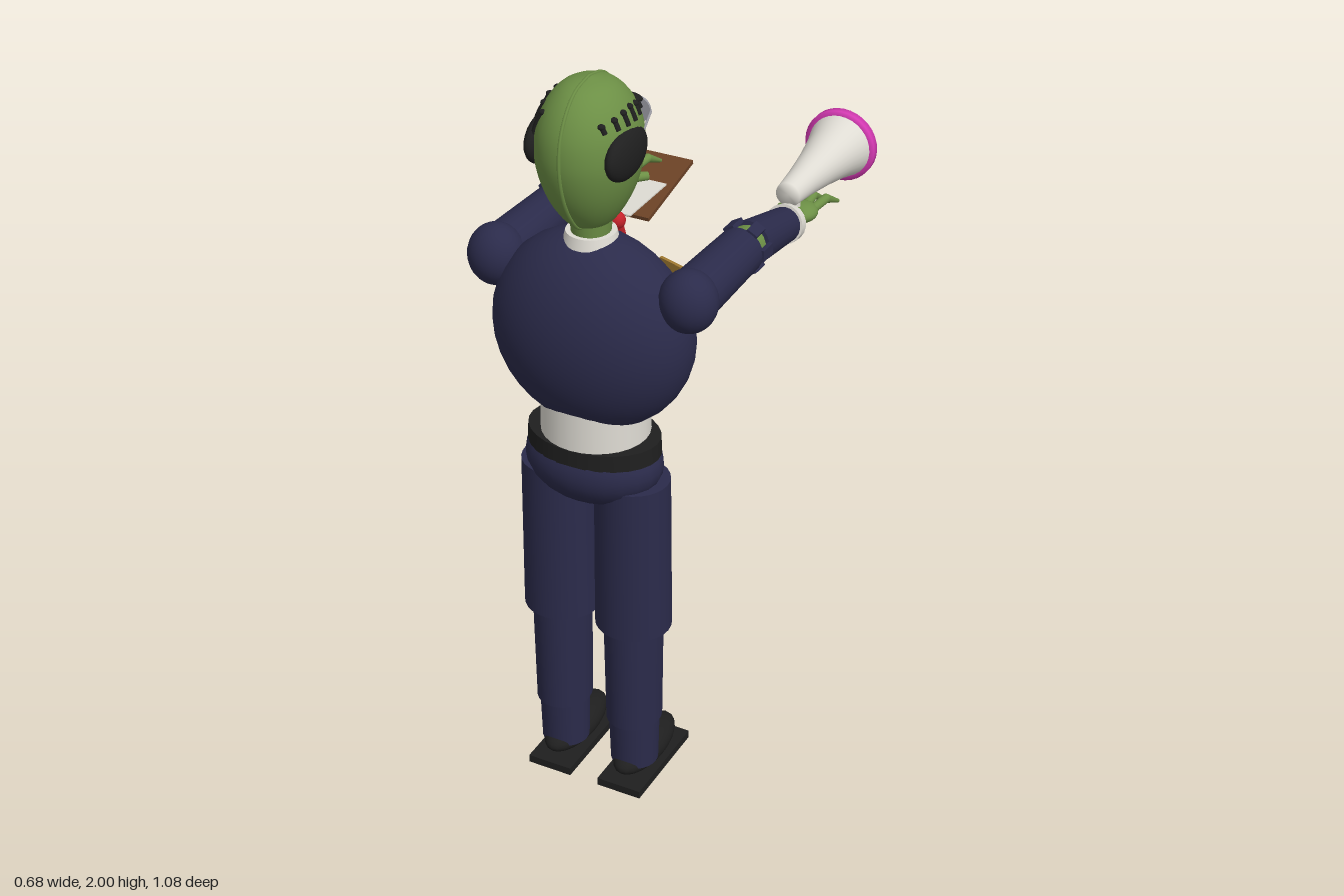
import * as THREE from 'three';

const mat = (name, color, double) => {
  const m = new THREE.MeshStandardMaterial({ color });
  m.name = name;
  if (double) m.side = THREE.DoubleSide;
  return m;
};

export function createModel() {
  const navy = mat('navy cloth', 0x2b2b4b, true);
  const green = mat('green skin', 0x6c8f45);
  const black = mat('black', 0x1f1f1f);
  const white = mat('off white', 0xdedbd3, true);
  const red = mat('red', 0xc4222a);
  const pink = mat('pink', 0xd63ab4, true);
  const brown = mat('brown', 0x6b4226);
  const gold = mat('gold', 0xa07a32);
  const grey = mat('grey', 0x9a9aa2, true);

  const root = new THREE.Group();
  const body = new THREE.Group();
  body.name = 'figure';
  body.position.x = -0.01;
  root.add(body);

  const add = (name, geo, m, p = [0, 0, 0], parent = body) => {
    const mesh = new THREE.Mesh(geo, m);
    mesh.name = name;
    mesh.position.set(...p);
    parent.add(mesh);
    return mesh;
  };
  const ball = (name, m, p, r, parent) => {
    const mesh = add(name, new THREE.SphereGeometry(1, 24, 16), m, p, parent);
    mesh.scale.set(...r);
    return mesh;
  };
  const box = (name, m, p, s, parent) => add(name, new THREE.BoxGeometry(...s), m, p, parent);
  // Tapered round bar from a to b
  const bar = (name, m, a, b, r1, r2, parent, open = false) => {
    const va = new THREE.Vector3(...a), d = new THREE.Vector3(...b).sub(va);
    const geo = new THREE.CylinderGeometry(r2, r1, d.length(), 20, 1, open);
    const mesh = add(name, geo, m, va.clone().addScaledVector(d, 0.5).toArray(), parent);
    mesh.quaternion.setFromUnitVectors(new THREE.Vector3(0, 1, 0), d.normalize());
    return mesh;
  };
  // Upright elliptical tube
  const drum = (name, m, x, z, y0, y1, r0, r1, sz) => {
    const mesh = add(name, new THREE.CylinderGeometry(r1, r0, y1 - y0, 28), m, [x, (y0 + y1) / 2, z]);
    mesh.scale.z = sz;
    return mesh;
  };

  // Torso: shirt with a jacket shell around the back
  ball('shirt', white, [0, 1.34, 0.36], [0.26, 0.255, 0.173]);
  const shell = new THREE.SphereGeometry(1, 32, 24, 0, Math.PI * 2, 0, 1.85);
  shell.rotateX(Math.PI / 2);
  add('jacket', shell, navy, [0, 1.34, 0.36]).scale.set(0.265, 0.262, 0.178);
  drum('shirtWaist', white, 0, 0.357, 1.02, 1.24, 0.14, 0.135, 0.95);
  drum('belt', black, 0, 0.365, 1.01, 1.055, 0.177, 0.175, 0.72);
  box('buckle', gold, [0, 1.034, 0.236], [0.06, 0.042, 0.012]);
  ball('pelvis', navy, [0, 0.975, 0.367], [0.183, 0.115, 0.133]);
  ball('collarBase', navy, [0, 1.53, 0.365], [0.12, 0.06, 0.09]);

  // Lower jacket point behind the tie
  const tri = new THREE.Shape([[0, 0.1], [0.075, -0.1], [0, -0.13], [-0.075, -0.1]].map(p => new THREE.Vector2(...p)));
  add('jacketPoint', new THREE.ExtrudeGeometry(tri, { depth: 0.02, bevelEnabled: false }), navy, [0, 1.27, 0.183]).rotation.x = -0.2;

  // Tie and badge
  bar('tieUpper', red, [0, 1.565, 0.235], [0, 1.45, 0.193], 0.013, 0.015);
  bar('tieMiddle', red, [0, 1.45, 0.193], [0, 1.27, 0.183], 0.015, 0.022);
  bar('tieTip', red, [0, 1.27, 0.183], [0, 1.17, 0.208], 0.022, 0.004);
  ball('tieKnot', red, [0, 1.57, 0.234], [0.02, 0.022, 0.02]);
  box('badge', gold, [0.135, 1.46, 0.213], [0.075, 0.038, 0.009]).rotation.y = -0.35;

  // Legs and shoes
  for (const s of [-1, 1]) {
    const x = s * 0.104;
    drum('thigh', navy, x, 0.363, 0.5, 0.94, 0.1, 0.097, 0.95);
    drum('calf', navy, x, 0.363, 0.2, 0.51, 0.072, 0.076, 1.1);
    drum('ankle', navy, x, 0.363, 0.06, 0.21, 0.063, 0.067, 1);
    ball('shoe', black, [x, 0.06, 0.308], [0.06, 0.044, 0.137]);
    box('sole', black, [x, 0.011, 0.312], [0.125, 0.022, 0.288]);
  }

  // Neck and egg-shaped head
  drum('neck', green, 0, 0.365, 1.58, 1.7, 0.046, 0.056, 1.05);
  drum('collar', white, 0, 0.365, 1.565, 1.607, 0.072, 0.062, 1);
  const profile = [[0, 1.625], [0.048, 1.635], [0.078, 1.67], [0.103, 1.72], [0.119, 1.775], [0.125, 1.83],
    [0.118, 1.89], [0.094, 1.945], [0.055, 1.985], [0, 2]].map(p => new THREE.Vector2(...p));
  const curve = new THREE.SplineCurve(profile).getPoints(32);
  curve.forEach(p => { p.x = Math.max(0, p.x); p.y = Math.min(2, p.y); });
  add('head', new THREE.LatheGeometry(curve, 36), green, [0, 0, 0.365]).scale.z = 1.18;

  // Seam over the middle of the head
  const loop = curve.filter((p, i) => i > 2);
  const seamPath = [...loop.map(p => [p.y, 0.365 + p.x * 1.18]), ...loop.slice(0, -1).reverse().map(p => [p.y, 0.365 - p.x * 1.18])];
  const seam = new THREE.CatmullRomCurve3(seamPath.map(([y, z]) => new THREE.Vector3(0, y - 0.001, z)));
  add('headSeam', new THREE.TubeGeometry(seam, 80, 0.005, 6), green);

  // Point on the upper head for a given height and depth
  const onHead = (s, y, z) => new THREE.Vector3(
    s * 0.126 * Math.sqrt(Math.max(0.02, 1 - ((y - 1.83) / 0.17) ** 2 - ((z - 0.365) / 0.148) ** 2)), y, z);
  for (const s of [-1, 1]) {
    ball('sideHair', black, [s * 0.106, 1.836, 0.385], [0.03, 0.064, 0.09]);
    // Strands, longer on one side
    for (let i = 0; i < 6; i++) {
      const z = 0.285 + i * 0.033;
      const [y0, y1] = s < 0 ? [1.86, 1.95 - Math.abs(z - 0.36) * 0.25] : [1.905, 1.94 - Math.abs(z - 0.36) * 0.2];
      const pts = [0, 0.5, 1].map(t => onHead(s, y0 + (y1 - y0) * t, z));
      add('hairStrand', new THREE.TubeGeometry(new THREE.CatmullRomCurve3(pts), 8, 0.007, 6), black);
      ball('strandTip', black, pts[2].toArray(), [0.01, 0.007, 0.009]);
    }
    const brow = ball('eyebrow', black, [s * 0.056, 1.915, 0.258], [0.033, 0.011, 0.013]);
    brow.rotation.set(0, -s * 0.35, s * 0.12);
    // Glasses
    const lens = add('lens', new THREE.CylinderGeometry(0.033, 0.033, 0.006, 24), grey, [s * 0.05, 1.868, 0.218]);
    lens.rotation.x = Math.PI / 2;
    bar('temple', grey, [s * 0.083, 1.868, 0.218], [s * 0.113, 1.866, 0.31], 0.003, 0.003);
  }
  bar('bridge', grey, [-0.02, 1.868, 0.216], [0.02, 1.868, 0.216], 0.003, 0.003);
  ball('moustache', black, [0, 1.757, 0.226], [0.036, 0.011, 0.012]);

  // Arms and hands, reaching toward -z
  for (const s of [-1, 1]) {
    const arm = new THREE.Group();
    arm.name = s > 0 ? 'leftArm' : 'rightArm';
    arm.position.x = s * 0.258;
    body.add(arm);
    ball('shoulder', navy, [s * 0.003, 1.48, 0.37], [0.073, 0.08, 0.07], arm);
    bar('upperArm', navy, [0, 1.48, 0.36], [0, 1.48, 0.085], 0.068, 0.061, arm);
    bar('elbow', green, [0, 1.48, 0.1], [0, 1.475, 0.03], 0.05, 0.05, arm);
    for (let i = 0; i < 6; i++) {
      const a = i * Math.PI / 3;
      const tab = box('elbowTab', navy, [Math.cos(a) * 0.06, 1.48 + Math.sin(a) * 0.06, 0.065], [0.012, 0.03, 0.05], arm);
      tab.rotation.z = a;
    }
    bar('forearm', navy, [0, 1.478, 0.045], [0, 1.434, -0.168], 0.059, 0.046, arm);
    bar('cuff', white, [0, 1.436, -0.165], [0, 1.429, -0.192], 0.052, 0.05, arm);
    bar('wrist', green, [0, 1.43, -0.185], [0, 1.424, -0.245], 0.036, 0.026, arm);
    ball('palm', green, [0, 1.425, -0.27], [0.044, 0.025, 0.048], arm);
    for (const f of [-1, 0, 1]) {
      const mid = [f * 0.036, 1.437, -0.345];
      bar('finger', green, [f * 0.024, 1.428, -0.295], mid, 0.012, 0.012, arm);
      ball('knuckle', green, mid, [0.012, 0.012, 0.012], arm);
      bar('fingerTip', green, mid, [f * 0.046, 1.408, -0.4], 0.012, 0.005, arm);
    }
    bar('thumb', green, [-s * 0.03, 1.42, -0.245], [-s * 0.064, 1.415, -0.29], 0.014, 0.012, arm);
  }

  // Megaphone in the left hand
  const horn = new THREE.Group();
  horn.name = 'megaphone';
  horn.position.set(0.242, 1.502, -0.2);
  horn.rotation.x = -Math.PI / 2;
  root.add(horn);
  const lathe = pts => new THREE.LatheGeometry(pts.map(p => new THREE.Vector2(...p)), 32);
  add('hornBody', lathe([[0, 0], [0.033, 0], [0.041, 0.08], [0.055, 0.18], [0.07, 0.26], [0.086, 0.32]]), white, [0, 0, 0], horn);
  add('hornRim', lathe([[0.085, 0.318], [0.098, 0.32], [0.098, 0.34], [0.085, 0.34]]), pink, [0, 0, 0], horn);
  add('hornInside', lathe([[0.085, 0.34], [0.066, 0.26], [0.05, 0.18], [0.036, 0.08], [0, 0.07]]), pink, [0, 0, 0], horn);
  bar('hornGrip', white, [0.242, 1.47, -0.25], [0.242, 1.43, -0.25], 0.012, 0.012, root);

  // Clipboard with paper under the right hand
  const board = new THREE.Group();
  board.name = 'clipboard';
  board.position.set(-0.237, 1.38, -0.304);
  board.rotation.x = 0.22;
  root.add(board);
  box('board', brown, [0, 0, 0], [0.192, 0.011, 0.262], board);
  box('clip', grey, [0, 0.01, 0.105], [0.06, 0.01, 0.03], board);
  box('paper', white, [-0.225, 1.394, -0.203], [0.14, 0.004, 0.205], root);

  return root;
}
